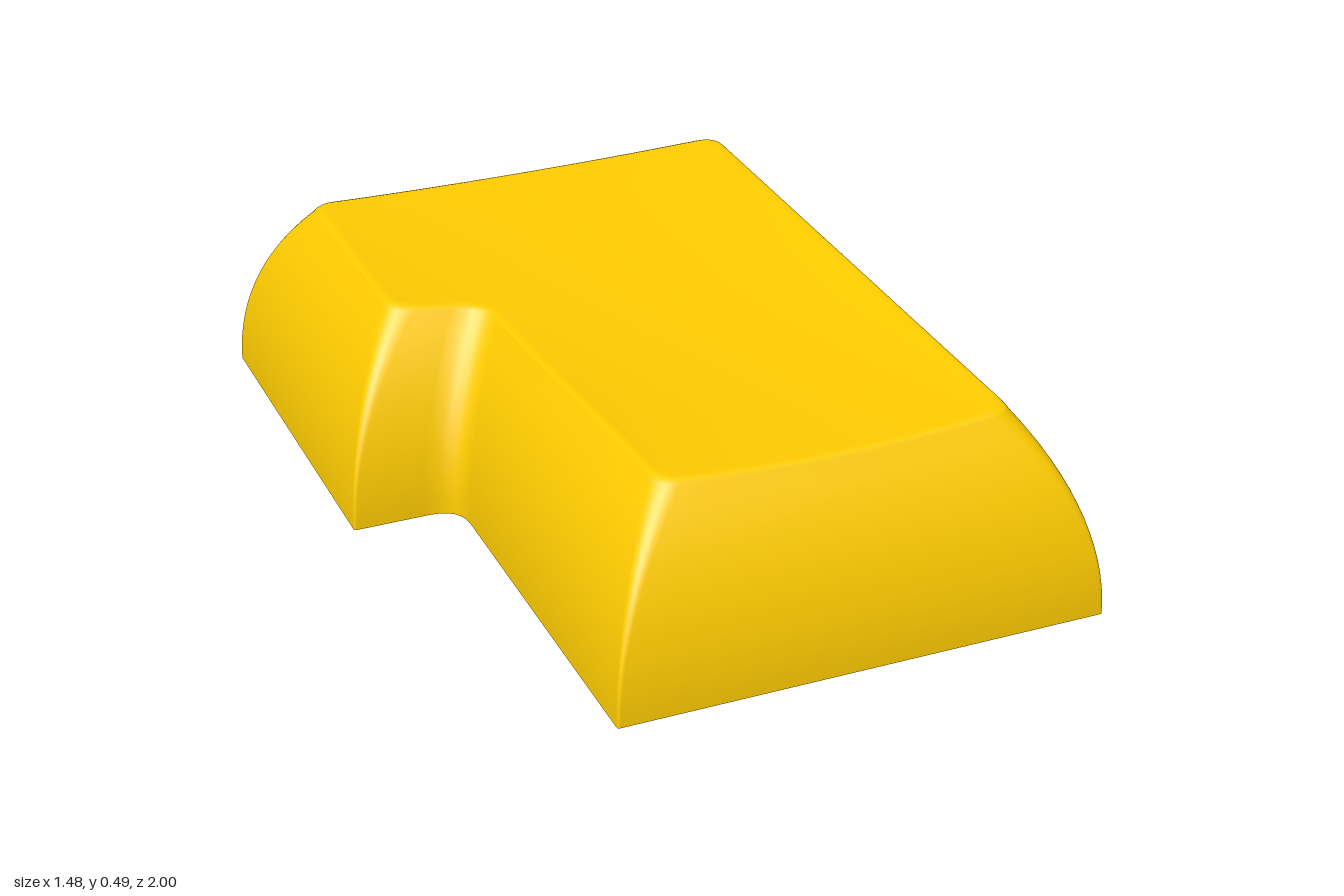
import * as THREE from 'three';

// Corner points [x, z] of the L-shaped plan at each level, clockwise seen from above
const BASE = [[-0.74, -1], [0.74, -1], [0.74, 1], [-0.47, 1], [-0.47, -0.02], [-0.74, -0.02]];
const TOP = [[-0.57, -0.84], [0.57, -0.84], [0.57, 0.83], [-0.305, 0.83], [-0.325, -0.18], [-0.575, -0.19]];
const INNER = [[-0.66, -0.92], [0.66, -0.92], [0.66, 0.92], [-0.39, 0.92], [-0.39, -0.1], [-0.66, -0.1]];
const CEILING = [[-0.482, -0.75], [0.482, -0.75], [0.482, 0.75], [-0.212, 0.75], [-0.22, -0.27], [-0.482, -0.27]];
const NOTCH = 4;                              // index of the inward corner
const CENTRE = new THREE.Vector2(0.1, -0.45); // sees every point of the plan
const ARC = 6, EDGE = 14;
const CEILING_Y = 0.355;

// Plan outline with rounded corners and subdivided straight edges
function outline(corners, radius, notchRadius) {
  const v = corners.map(([x, z]) => new THREE.Vector2(x, z));
  const arcs = v.map((c, i) => {
    const r = i === NOTCH ? notchRadius : radius;
    const towards = (q) => c.clone().add(q.clone().sub(c).setLength(r));
    const curve = new THREE.QuadraticBezierCurve(towards(v[(i + 5) % 6]), c, towards(v[(i + 1) % 6]));
    return curve.getPoints(ARC);
  });
  return arcs.flatMap((arc, i) => {
    const next = arcs[(i + 1) % 6][0];
    const edge = [];
    for (let j = 1; j < EDGE; j++) edge.push(arc[ARC].clone().lerp(next, j / EDGE));
    return [...arc, ...edge];
  });
}

const at = (p, y) => new THREE.Vector3(p.x, y, p.y);
const lift = (points, y) => points.map((p) => at(p, y));

// Skin through rings of equal point count
function loft(rings) {
  const n = rings[0].length, index = [];
  for (let r = 0; r < rings.length - 1; r++) {
    for (let i = 0; i < n; i++) {
      const a0 = r * n + i, a1 = r * n + (i + 1) % n, b0 = a0 + n, b1 = a1 + n;
      index.push(a0, b0, a1, a1, b0, b1);
    }
  }
  const geometry = new THREE.BufferGeometry().setFromPoints(rings.flat());
  geometry.setIndex(index);
  geometry.computeVertexNormals();
  return geometry;
}

// Shallow dish of the top face, deepest in the middle
function dish(p) {
  const left = -0.57 + 0.27 * THREE.MathUtils.smoothstep(p.y, -0.25, 0.8);
  const u = (p.x - (0.57 + left) / 2) / ((0.57 - left) / 2);
  const depth = 0.015 + 0.019 * Math.max(0, 1 - (p.y / 0.84) ** 2);
  return 0.49 - depth * Math.max(0, 1 - u * u);
}

// Inward lean of a wall bulging on an arc of radius r, at height y
const lean = (y, r) => r - Math.sqrt(r * r - y * y);
const OUTER_R = 0.763, INNER_R = 0.443;

export function createModel() {
  const group = new THREE.Group();
  group.name = 'keycap';
  const material = new THREE.MeshStandardMaterial({ color: 0xffcc00 });
  const add = (name, rings) => {
    const mesh = new THREE.Mesh(loft(rings), material);
    mesh.name = name;
    group.add(mesh);
  };

  // Outer shell: bulging walls cut by the dish, soft rim, dished top
  const base = outline(BASE, 0.008, 0.08);
  const top = outline(TOP, 0.055, 0.08);
  const wallPoint = (i, inset) => base[i].clone().lerp(top[i], inset / 0.17);
  const shell = [];
  for (let j = 0; j <= 14; j++) {
    const t = 0.965 * j / 14;
    shell.push(top.map((p, i) => {
      const y = t * dish(p);
      return at(wallPoint(i, lean(y, OUTER_R)), y);
    }));
  }
  // Rim rings: [extra inset past the wall's top, share of the height]
  for (const [extra, t] of [[-0.009, 0.982], [-0.003, 0.995], [0.006, 1]]) {
    shell.push(top.map((p, i) => at(wallPoint(i, lean(dish(p), OUTER_R) + extra), t * dish(p))));
  }
  const rim = top.map((p, i) => wallPoint(i, lean(dish(p), OUTER_R) + 0.018));
  for (let j = 0; j <= 12; j++) {
    shell.push(rim.map((p) => {
      const q = p.clone().lerp(CENTRE, j / 12);
      return at(q, dish(q));
    }));
  }
  add('outerShell', shell);

  // Flat underside rim
  const inner = outline(INNER, 0.004, 0.16);
  const ceiling = outline(CEILING, 0.004, 0.16);
  add('bottomRim', [lift(inner, 0), lift(base, 0)]);

  // Cavity walls bulge like the outside, up to a flat ceiling
  const walls = [];
  for (let j = 10; j >= 0; j--) {
    const y = CEILING_Y * j / 10;
    const k = lean(y, INNER_R) / lean(CEILING_Y, INNER_R);
    walls.push(inner.map((p, i) => at(p.clone().lerp(ceiling[i], k), y)));
  }
  add('cavityWalls', walls);
  add('cavityCeiling', [lift(ceiling.map(() => CENTRE), CEILING_Y), lift(ceiling, CEILING_Y)]);
  return group;
}
